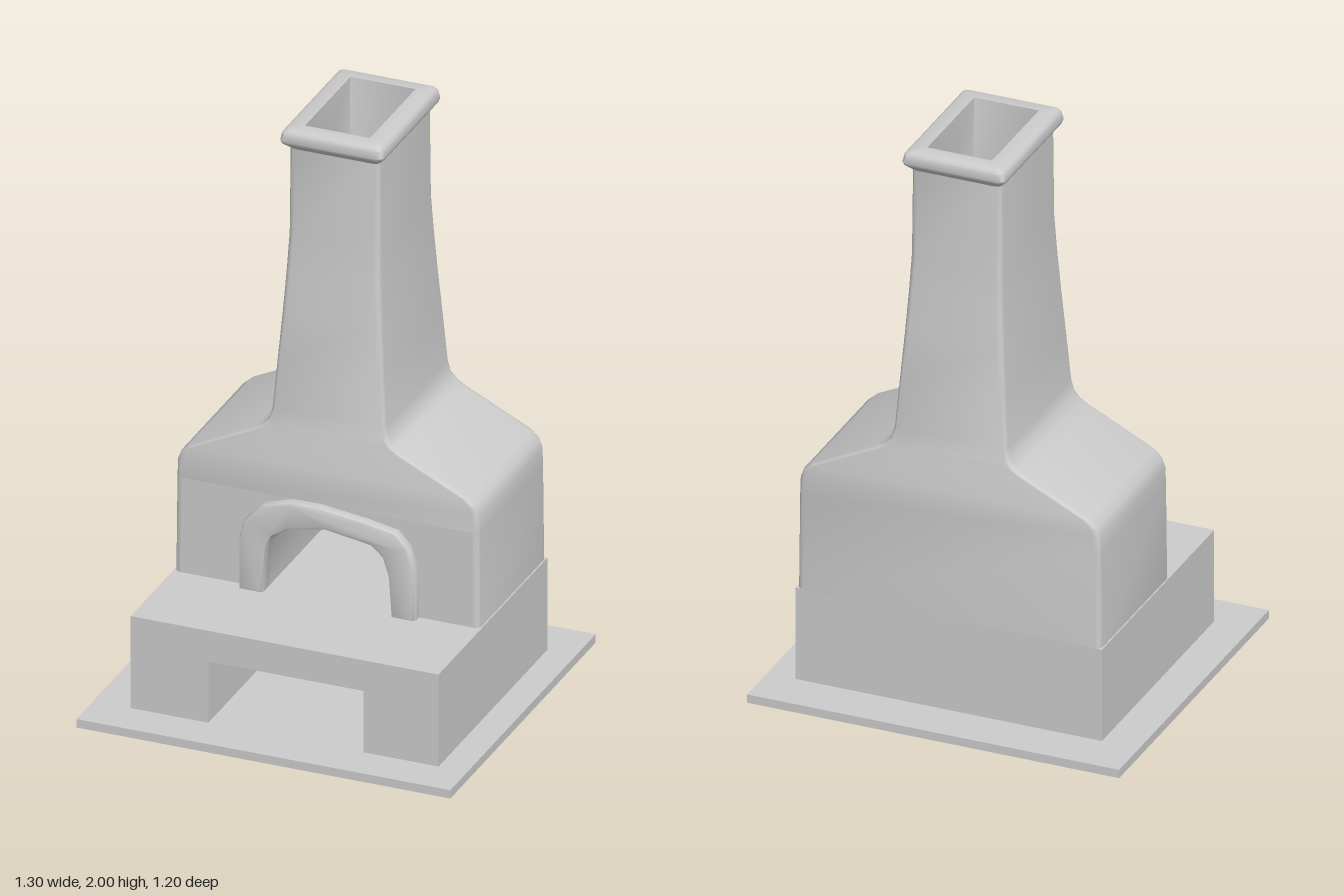
import * as THREE from 'three';
import { toCreasedNormals } from 'three/addons/utils/BufferGeometryUtils.js';

const CX = 0.015, CZ = -0.165; // centre line of oven and chimney

// Skin through rounded rectangles [y, halfX, halfZ, cornerRadius]; the front of the first band may stay open
function loft(rings, openFront) {
  const n = 4, per = 4 * (n + 1), pos = [], index = [];
  const corners = [[1, 1], [-1, 1], [-1, -1], [1, -1]];
  for (const [y, hx, hz, r] of rings) {
    corners.forEach(([sx, sz], k) => {
      for (let i = 0; i <= n; i++) {
        const a = (k + i / n) * Math.PI / 2;
        pos.push(CX + sx * (hx - r) + r * Math.cos(a), y, CZ + sz * (hz - r) + r * Math.sin(a));
      }
    });
  }
  for (let j = 0; j < rings.length - 1; j++) {
    for (let i = 0; i < per; i++) {
      if (openFront && j === 0 && i === n) continue;
      const a = j * per + i, b = j * per + (i + 1) % per;
      index.push(a, a + per, b, b, a + per, b + per);
    }
  }
  const g = new THREE.BufferGeometry();
  g.setAttribute('position', new THREE.Float32BufferAttribute(pos, 3));
  g.setIndex(index);
  return toCreasedNormals(g, 0.6);
}

// Front outline extruded from zBack to zFront
function slab(points, zBack, zFront, bevel = 0) {
  const shape = new THREE.Shape(points.map(([x, y]) => new THREE.Vector2(x, y)));
  const g = new THREE.ExtrudeGeometry(shape, {
    depth: zFront - zBack - 2 * bevel, bevelEnabled: bevel > 0, bevelSize: bevel,
    bevelThickness: bevel, bevelOffset: -bevel, bevelSegments: 2,
  });
  g.translate(0, 0, zBack + bevel);
  return toCreasedNormals(g, 0.6);
}

function box(x0, x1, y0, y1, z0, z1) {
  return new THREE.BoxGeometry(x1 - x0, y1 - y0, z1 - z0)
    .translate((x0 + x1) / 2, (y0 + y1) / 2, (z0 + z1) / 2);
}

export function createModel() {
  const group = new THREE.Group();
  const material = new THREE.MeshStandardMaterial({ color: 0xcccccc });
  const add = (name, geometry) => {
    const mesh = new THREE.Mesh(geometry, material);
    mesh.name = name;
    group.add(mesh);
  };

  // Ground slab
  add('groundSlab', box(-0.65, 0.65, 0, 0.03, -0.6, 0.6));

  // Hearth block with a wood niche open to the front
  add('hearth', slab([
    [-0.52, 0.03], [-0.25, 0.03], [-0.25, 0.25], [0.29, 0.25], [0.29, 0.03],
    [0.55, 0.03], [0.55, 0.36], [-0.52, 0.36],
  ], -0.3, 0.46));
  add('hearthBack', box(-0.52, 0.55, 0.03, 0.36, -0.44, -0.3));

  // Mouth of the oven, from lower left over the top to lower right
  const mouth = [
    [-0.195, 0.355], [-0.185, 0.52], [-0.165, 0.565], [-0.11, 0.6], [0.02, 0.625],
    [0.18, 0.6], [0.22, 0.565], [0.24, 0.5], [0.25, 0.355],
  ];

  // Front wall with the baking chamber behind the mouth
  const edge = 0.51;
  add('ovenChamber', slab([
    [CX - edge, 0.355], ...mouth, [CX + edge, 0.355],
    [CX + edge - 0.004, 0.7], [CX - edge + 0.004, 0.7],
  ], -0.36, 0.11));
  add('chamberBack', box(-0.3, 0.35, 0.36, 0.69, -0.4, -0.36));

  // Body, shoulders and tapering chimney in one skin
  add('bodyAndChimney', loft([
    [0.355, 0.53, 0.275, 0.02], [0.7, 0.526, 0.275, 0.02], [0.76, 0.524, 0.275, 0.02],
    [0.79, 0.513, 0.275, 0.02], [0.815, 0.485, 0.275, 0.02], [0.925, 0.26, 0.275, 0.02],
    [0.945, 0.228, 0.275, 0.02], [0.97, 0.207, 0.273, 0.02], [1.01, 0.197, 0.27, 0.02],
    [1.18, 0.185, 0.257, 0.02], [1.35, 0.173, 0.243, 0.02], [1.5, 0.164, 0.231, 0.02],
    [1.62, 0.159, 0.221, 0.02], [1.94, 0.156, 0.219, 0.02],
  ], true));

  // Chimney cap and flue, ending in a closed floor
  add('chimneyCap', loft([
    [1.925, 0.155, 0.218, 0.02], [1.95, 0.177, 0.245, 0.02], [1.96, 0.18, 0.249, 0.02],
    [1.985, 0.175, 0.246, 0.02], [1.995, 0.168, 0.238, 0.02], [2, 0.158, 0.228, 0.02],
    [2, 0.113, 0.188, 0.003], [1.7, 0.108, 0.172, 0.003], [1.7, 0.001, 0.001, 0.001],
  ]));

  // Raised trim around the mouth
  add('mouthTrim', slab([
    ...mouth, [0.335, 0.355], [0.334, 0.53], [0.31, 0.61], [0.265, 0.66], [0.16, 0.68],
    [0, 0.7], [-0.1, 0.7], [-0.2, 0.67], [-0.26, 0.61], [-0.28, 0.54], [-0.28, 0.355],
  ], 0.085, 0.145, 0.012));

  return group;
}
